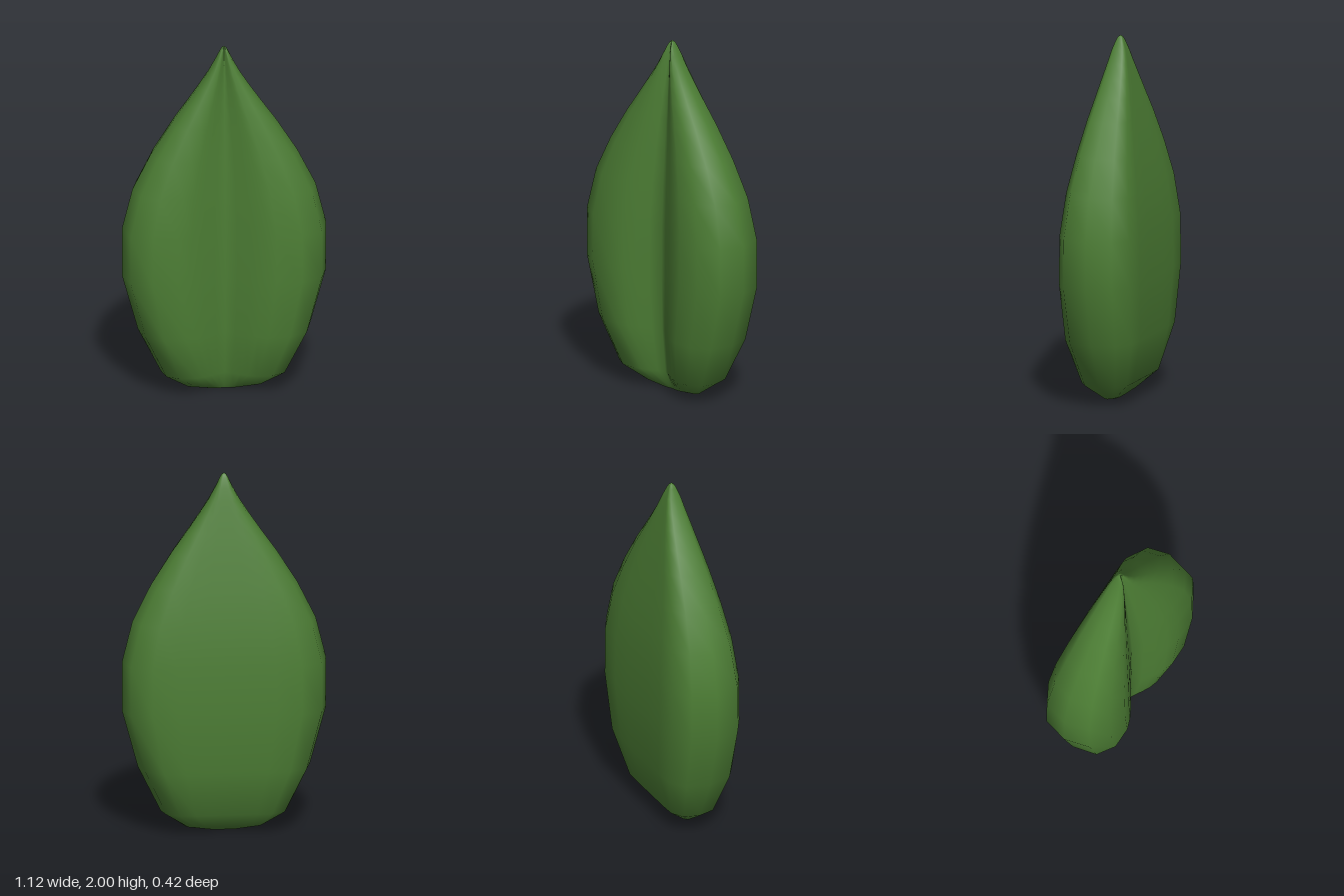
import * as THREE from 'three';
import { mergeVertices } from 'three/addons/utils/BufferGeometryUtils.js';

// Half cross-section from the front groove round the edge to the back: [x, z], as fractions of the half sizes
const half = [
  [0, 0.39], [0.11, 0.54], [0.23, 0.73], [0.35, 0.89], [0.48, 1], [0.73, 1], [0.935, 0.68],
  [1, 0], [0.935, -0.66], [0.73, -0.97], [0.48, -1], [0.23, -1], [0, -1],
];

// Rings from base to tip: [height, half width, half depth]
const rings = [
  [0, 0, 0], [0, 0.07, 0.008], [0.02, 0.21, 0.032], [0.11, 0.345, 0.132], [0.36, 0.47, 0.195],
  [0.68, 0.558, 0.208], [0.95, 0.558, 0.205], [1.18, 0.5, 0.182], [1.38, 0.4, 0.15],
  [1.56, 0.286, 0.117], [1.68, 0.2, 0.092], [1.77, 0.138, 0.073], [1.85, 0.086, 0.055],
  [1.92, 0.048, 0.039], [1.97, 0.024, 0.022], [1.99, 0.013, 0.012], [2, 0, 0],
];

function leafGeometry() {
  // Full closed loop: right half reversed, then the mirrored left half
  const section = [
    ...half.slice().reverse(),
    ...half.slice(1, -1).map(([x, z]) => [-x, z]),
  ];
  const n = section.length;
  const positions = [];
  const index = [];
  rings.forEach(([y, w, d], j) => {
    section.forEach(([x, z], i) => {
      positions.push(x * w, y, z * d);
      if (j === rings.length - 1) return;
      const a = j * n + i;
      const b = j * n + (i + 1) % n;
      if (j > 0) index.push(a, b + n, b);
      if (j < rings.length - 2) index.push(a, a + n, b + n);
    });
  });
  const geometry = new THREE.BufferGeometry();
  geometry.setAttribute('position', new THREE.Float32BufferAttribute(positions, 3));
  geometry.setIndex(index);
  const merged = mergeVertices(geometry, 1e-5);
  merged.computeVertexNormals();
  return merged;
}

export function createModel() {
  const leafGreen = new THREE.MeshStandardMaterial({ color: 0x4c7d34 });
  leafGreen.name = 'leafGreen';

  // Thick pointed leaf with a lengthwise groove in the front
  const leaf = new THREE.Mesh(leafGeometry(), leafGreen);
  leaf.name = 'leaf';

  const model = new THREE.Group();
  model.name = 'thickLeaf';
  model.add(leaf);
  return model;
}
